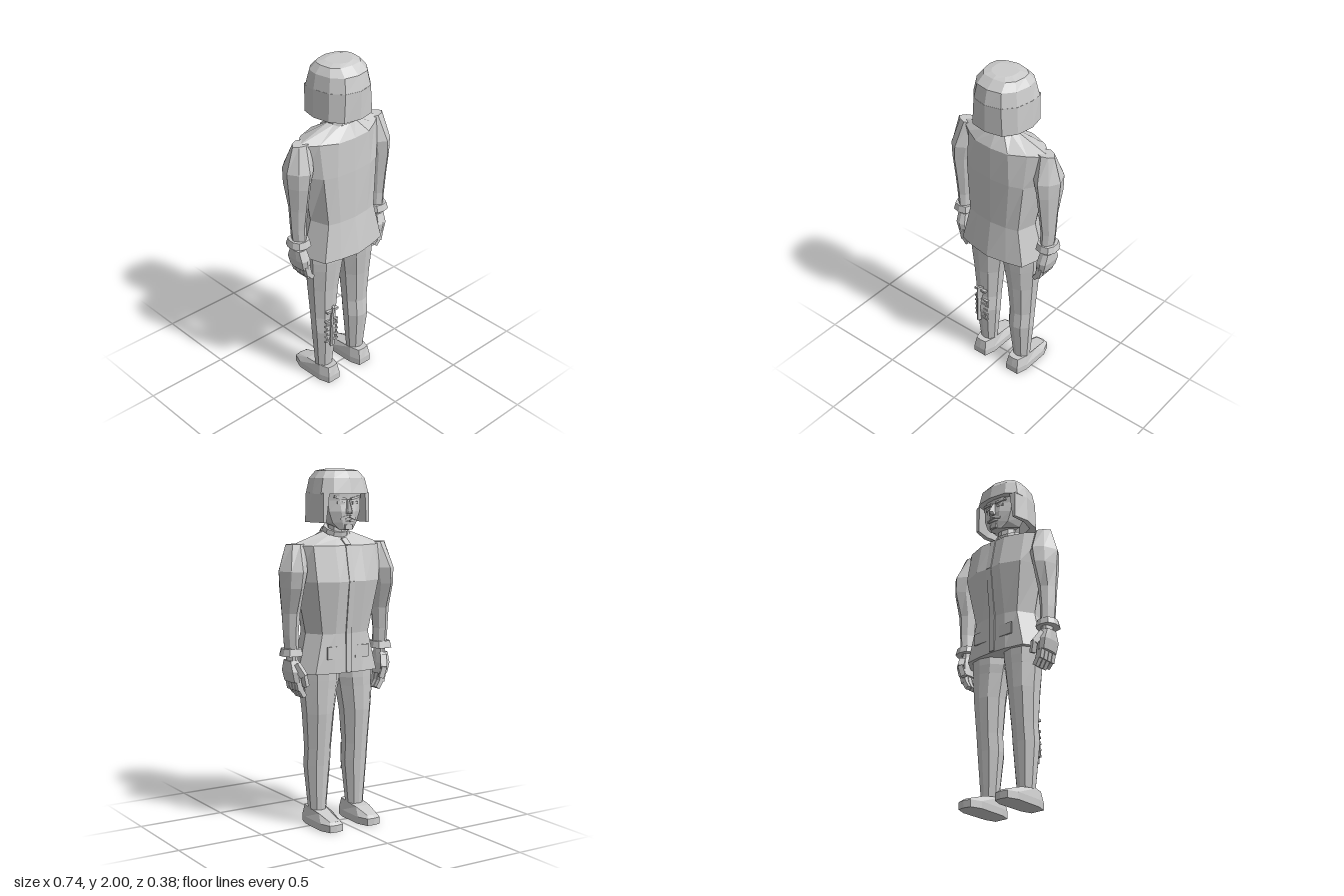
import * as THREE from 'three';

const grey = new THREE.MeshStandardMaterial({ color: 0xcccccc, flatShading: true });
grey.name = 'light grey';

// Closed ring from a half outline [x, z, y?], running back centre -> +x -> front centre
function ring(y, half, cx = 0) {
  const pts = half.map(([x, z, py]) => new THREE.Vector3(x, py ?? y, z));
  const other = pts.filter(p => p.x > 0).reverse().map(p => new THREE.Vector3(-p.x, p.y, p.z));
  return [...pts, ...other].map(p => p.setX(p.x + cx));
}

// Limb ring: octagon-like outline between inner/outer x and back/front z
function limbRing([y, xi, xo, zb, zf], k = 0.55) {
  const c = (xi + xo) / 2, r = (xo - xi) / 2, m = (zb + zf) / 2;
  return ring(y, [[0, zb], [r * k, zb + (m - zb) * 0.15], [r, m + (zb - m) * 0.3],
    [r, m + (zf - m) * 0.3], [r * k, zf + (m - zf) * 0.15], [0, zf]], c);
}

// Skin rings stacked upwards, with caps; side -1 builds the mirrored part
function loft(parent, name, rings, side = 1) {
  if (side < 0) rings = rings.map(r => r.map(p => new THREE.Vector3(-p.x, p.y, p.z)).reverse());
  const pos = [], n = rings[0].length;
  const tri = (...v) => v.forEach(p => pos.push(p.x, p.y, p.z));
  for (let i = 0; i + 1 < rings.length; i++) {
    for (let j = 0; j < n; j++) {
      const k = (j + 1) % n, a = rings[i], b = rings[i + 1];
      tri(a[j], a[k], b[k]);
      tri(a[j], b[k], b[j]);
    }
  }
  const cap = (r, up) => {
    const flat = r.map(p => new THREE.Vector2(p.x, -p.z));
    for (const [a, b, c] of THREE.ShapeUtils.triangulateShape(flat, [])) {
      if (up) tri(r[a], r[b], r[c]); else tri(r[a], r[c], r[b]);
    }
  };
  cap(rings[0], false);
  cap(rings[rings.length - 1], true);
  const g = new THREE.BufferGeometry();
  g.setAttribute('position', new THREE.Float32BufferAttribute(pos, 3));
  g.computeVertexNormals();
  return add(parent, name, g);
}

function add(parent, name, geometry) {
  const m = new THREE.Mesh(geometry, grey);
  m.name = name;
  parent.add(m);
  return m;
}

// Box bar running from a to b
function bar(parent, name, a, b, w, d) {
  const p = new THREE.Vector3(...a), q = new THREE.Vector3(...b);
  const m = add(parent, name, new THREE.BoxGeometry(w, d, p.distanceTo(q)));
  m.position.copy(p).add(q).multiplyScalar(0.5);
  m.lookAt(q);
  return m;
}

function group(parent, name) {
  const g = new THREE.Group();
  g.name = name;
  parent.add(g);
  return g;
}

function buildCoat(root) {
  const coat = group(root, 'coat');
  loft(coat, 'coatBody', [
    ring(0.88, [[0, .185], [.12, .165], [.215, .14], [.257, 0], [.2, -.09], [.09, -.11], [0, -.115]]),
    ring(1.1, [[0, .15], [.1, .14], [.17, .12], [.205, .01], [.15, -.08], [.08, -.105], [0, -.11]]),
    ring(1.39, [[0, .15], [.12, .14], [.195, .11], [.26, .015], [.2, -.11], [.085, -.155], [0, -.145]]),
    ring(1.585, [[0, .145], [.11, .135], [.2, .085], [.3, .015], [.2, -.07], [.085, -.11], [0, -.105]]),
    ring(1.66, [[0, .1], [.05, .09], [.075, .06], [.085, .02], [.07, -.02, 1.64], [.04, -.05, 1.62], [0, -.055, 1.62]]),
  ]);
  // Front placket following the chest
  const line = [[0.885, -.115], [1.1, -.111], [1.39, -.145], [1.585, -.106], [1.62, -.06]];
  for (let i = 0; i < 4; i++) {
    bar(coat, 'placket', [0, ...line[i]], [0, ...line[i + 1]], 0.035, 0.012);
  }
  // Pocket flaps and tilted standing collar
  for (const s of [-1, 1]) bar(coat, 'pocketFlap', [s * .09, .96, -.108], [s * .09, 1.03, -.106], 0.09, 0.008);
  [[.088, .082, 1.645, .035], [.076, .07, 1.668, .025]].forEach(([r0, r1, y, z]) => {
    const c = add(coat, 'collar', new THREE.CylinderGeometry(r1, r0, 0.025, 10));
    c.position.set(0, y, z);
    c.rotation.x = -0.4;
  });
}

function buildArm(root, s) {
  const arm = group(root, s > 0 ? 'leftArm' : 'rightArm');
  // Sleeve rings: y, inner x, outer x, back z, front z
  const sleeve = [[1.0, .25, .335, .065, -.04], [1.1, .25, .345, .065, -.042], [1.22, .238, .352, .08, -.05],
    [1.36, .225, .363, .1, -.1], [1.45, .2, .37, .105, -.105], [1.595, .2, .326, .05, -.035]];
  loft(arm, 'sleeve', sleeve.map(([y, xi, xo, zb, zf]) => {
    const w = xo - xi, c = (xi + xo) / 2, m = 0.015;
    return ring(y, [[0, zb], [w * .3, m + (zb - m) * .65], [w / 2, m], [w * .3, m + (zf - m) * .65], [0, zf]], c);
  }), s);
  loft(arm, 'cuff', [limbRing([.985, .235, .357, .08, -.055], .7), limbRing([1.025, .243, .348, .07, -.045], .7)], s);
  loft(arm, 'wrist', [limbRing([.93, .262, .322, .05, -.03]), limbRing([1.0, .262, .322, .05, -.03])], s);
  // Hand with four curled fingers and a thumb
  loft(arm, 'palm', [limbRing([.84, .25, .315, .075, -.055], .8), limbRing([.9, .256, .33, .08, -.06], .8),
    limbRing([.96, .265, .33, .055, -.035], .8)], s);
  for (let i = 0; i < 4; i++) {
    const z = .06 - i * .032, tip = i === 0 ? .015 : 0;
    bar(arm, 'finger', [s * .285, .86, z], [s * .27, .795, z], .028, .034);
    bar(arm, 'fingertip', [s * .272, .805, z], [s * .243, .757 + tip, z], .026, .026);
  }
  bar(arm, 'thumb', [s * .29, .94, -.035], [s * .265, .875, -.075], .035, .035);
  bar(arm, 'thumbTip', [s * .268, .885, -.075], [s * .25, .82, -.068], .028, .028);
}

function buildLeg(root, s) {
  const leg = group(root, s > 0 ? 'leftLeg' : 'rightLeg');
  loft(leg, 'trouser', [[.09, .075, .177, .07, -.03], [.35, .05, .2, .1, -.05], [.45, .05, .2, .09, -.06],
    [.65, .033, .213, .105, -.08], [.79, .01, .225, .12, -.085], [.84, 0, .228, .125, -.088],
    [.92, 0, .23, .125, -.09]].map(r => limbRing(r)), s);
  const sole = [[0, .115], [.042, .115], [.062, .05], [.065, -.12], [.042, -.183], [0, -.19]];
  loft(leg, 'shoe', [
    ring(0, sole, .125), ring(.04, sole, .125),
    ring(.1, [[0, .105], [.035, .1], [.052, .04], [.045, -.07, .085], [.03, -.165, .055], [0, -.172, .055]], .125),
  ], s);
}

function buildHead(root) {
  const head = group(root, 'head');
  const neck = add(head, 'neck', new THREE.CylinderGeometry(.05, .055, .17, 8));
  neck.position.set(0, 1.66, .015);
  loft(head, 'face', [
    ring(1.67, [[0, -.02, 1.69], [.05, -.03, 1.69], [.042, -.085], [.02, -.1], [0, -.105]]),
    ring(1.71, [[0, .05], [.085, .03], [.078, -.07], [.035, -.105], [0, -.112]]),
    ring(1.77, [[0, .1], [.115, .04], [.1, -.07], [.045, -.11], [0, -.115]]),
    ring(1.83, [[0, .1], [.12, .04], [.105, -.065], [.05, -.1], [0, -.105]]),
    ring(1.89, [[0, .1], [.125, .04], [.11, -.07], [.055, -.105], [0, -.11]]),
  ]);
  // Bobbed hair: open C below the fringe, closed dome above
  loft(head, 'hairSides', [
    ring(1.71, [[0, .187], [.1, .167], [.15, .1], [.168, 0], [.148, -.09], [.13, -.09], [.14, 0], [.12, .08], [0, .13]]),
    ring(1.87, [[0, .187], [.09, .165], [.145, .1], [.165, 0], [.148, -.09], [.115, -.1], [.125, 0], [.11, .08], [0, .13]]),
  ]);
  loft(head, 'hairDome', [
    ring(1.865, [[0, .187], [.09, .165], [.145, .1], [.165, 0], [.155, -.075], [.1, -.122], [0, -.138]]),
    ring(1.95, [[0, .165], [.08, .148], [.13, .09], [.148, 0], [.135, -.065], [.09, -.105], [0, -.122]]),
    ring(1.99, [[0, .115], [.07, .105], [.105, .065], [.115, 0], [.105, -.045], [.065, -.075], [0, -.09]]),
    ring(2.0, [[0, .09], [.045, .075], [.065, .045], [.07, 0], [.065, -.025], [.035, -.035], [0, -.04]]),
  ]);
  // Nose, mouth and chin
  loft(head, 'nose', [
    ring(1.757, [[0, -.09], [.02, -.095], [.016, -.125], [0, -.135]]),
    ring(1.77, [[0, -.09], [.022, -.095], [.014, -.13], [0, -.147]]),
    ring(1.835, [[0, -.08], [.009, -.09], [.006, -.11], [0, -.115]]),
  ]);
  for (const s of [-1, 1]) {
    bar(head, 'brow', [s * .015, 1.837, -.108], [s * .08, 1.85, -.09], .016, .012);
    bar(head, 'eye', [s * .025, 1.815, -.106], [s * .065, 1.817, -.095], .012, .014);
    bar(head, 'upperLip', [0, 1.745, -.117], [s * .045, 1.73, -.1], .015, .014);
    bar(head, 'lowerLip', [0, 1.718, -.116], [s * .03, 1.72, -.104], .015, .012);
  }
  bar(head, 'chin', [-.022, 1.685, -.104], [.022, 1.685, -.104], .02, .026);
}

// Small strapped sheath on the back of the right calf
function buildSheath(root) {
  const g = group(root, 'calfSheath');
  bar(g, 'blade', [-.135, .26, .092], [-.13, .45, .094], .04, .012);
  bar(g, 'handle', [-.13, .44, .094], [-.12, .53, .1], .045, .012);
  bar(g, 'guard', [-.165, .5, .094], [-.085, .505, .096], .02, .014);
  for (const x of [-.165, -.09]) bar(g, 'sideStrip', [x, .29, .086], [x + .005, .43, .084], .014, .014);
  for (let i = 0; i < 5; i++) {
    const y = .285 + i * .035;
    bar(g, 'strap', [-.172, y + .008, .088], [-.08, y, .09], .012, .012);
  }
}

export function createModel() {
  const root = new THREE.Group();
  root.name = 'standingFigure';
  buildCoat(root);
  for (const s of [1, -1]) {
    buildArm(root, s);
    buildLeg(root, s);
  }
  buildHead(root);
  buildSheath(root);
  return root;
}
